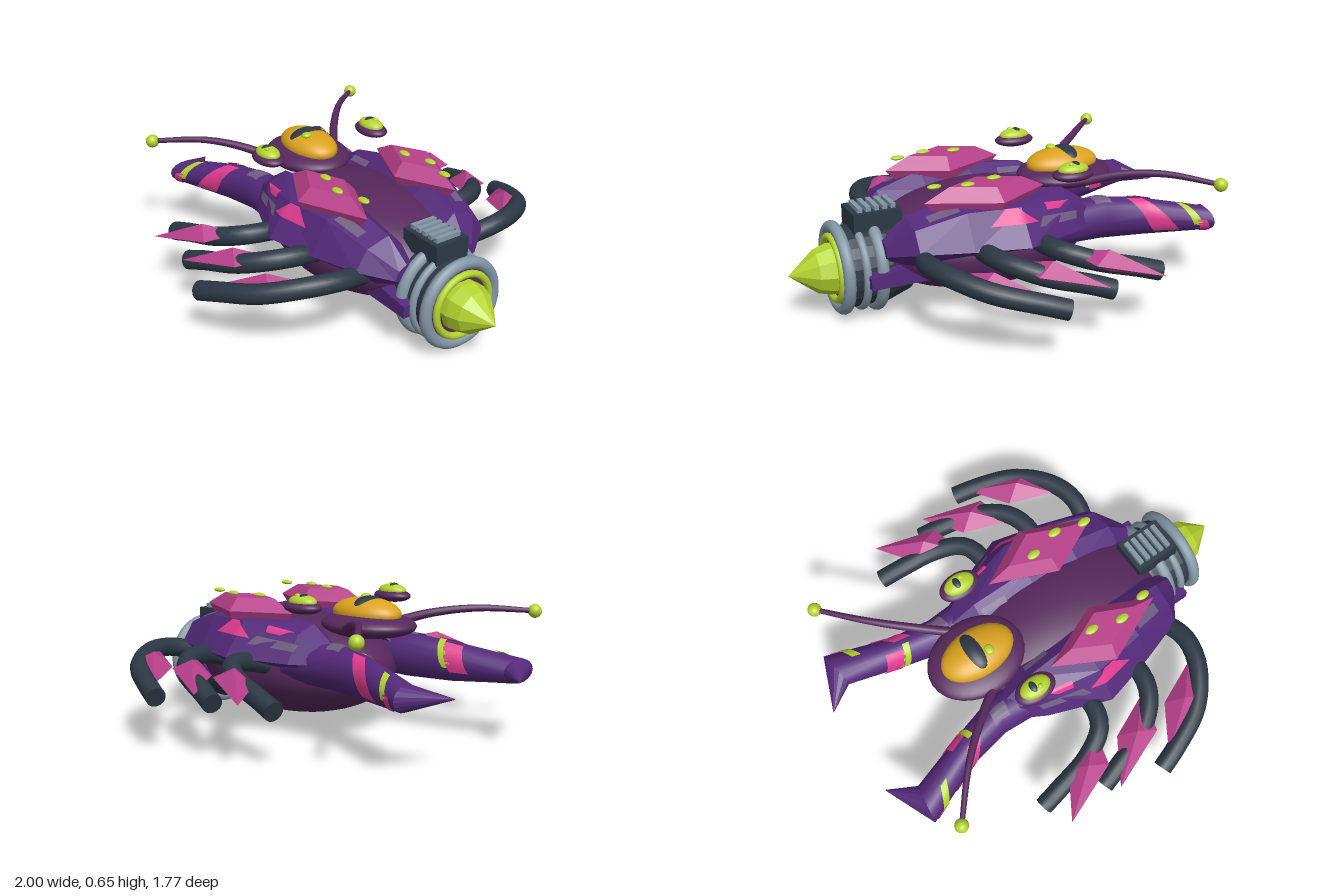
import * as THREE from 'three';

const mat = (name, color, side = THREE.FrontSide) => {
  const m = new THREE.MeshStandardMaterial({ color, side });
  m.name = name;
  return m;
};
const M = {
  hull: mat('plum hull', 0x56285c),
  shell: mat('violet shell', 0x54297a),
  plate: mat('rose plate', 0xb8408a),
  hot: mat('hot pink paint', 0xe03c90, THREE.DoubleSide),
  green: mat('acid green', 0xb4d42f, THREE.DoubleSide),
  amber: mat('amber eye', 0xdba31f),
  slate: mat('slate', 0x2c3845),
  steel: mat('steel', 0x8496a5),
  streak: mat('worn streak', 0x6f5c80, THREE.DoubleSide),
};

function add(parent, name, geometry, material, pos = [0, 0, 0]) {
  const m = new THREE.Mesh(geometry, material);
  m.name = name;
  m.position.set(...pos);
  parent.add(m);
  return m;
}

const blob = (parent, name, material, pos, radii) => {
  const m = add(parent, name, new THREE.SphereGeometry(1, 32, 20), material, pos);
  m.scale.set(...radii);
  return m;
};

// Closed skin over a row of rings, with capped ends and outward faces
function loft(rings, flat) {
  const n = rings[0].length, pos = rings.flat(2), idx = [];
  for (let i = 0; i < rings.length - 1; i++) for (let j = 0; j < n; j++) {
    const a = i * n + j, b = i * n + (j + 1) % n;
    idx.push(a, b, b + n, a, b + n, a + n);
  }
  [rings[0], rings.at(-1)].forEach((ring, end) => {
    const base = pos.length / 3;
    pos.push(...ring.flat(), ...centre(ring));
    for (let j = 0; j < n; j++) {
      const a = base + j, b = base + (j + 1) % n;
      idx.push(base + n, end ? a : b, end ? b : a);
    }
  });
  const p = (i) => new THREE.Vector3(pos[i * 3], pos[i * 3 + 1], pos[i * 3 + 2]);
  let volume = 0;
  for (let i = 0; i < idx.length; i += 3) volume += p(idx[i]).dot(p(idx[i + 1]).cross(p(idx[i + 2])));
  if (volume < 0) idx.reverse();
  let g = new THREE.BufferGeometry();
  g.setAttribute('position', new THREE.Float32BufferAttribute(pos, 3));
  g.setIndex(idx);
  if (flat) g = g.toNonIndexed();
  g.computeVertexNormals();
  return g;
}
const centre = (ring) => [0, 1, 2].map((k) => ring.reduce((s, p) => s + p[k], 0) / ring.length);

// Thin painted patch following a lofted skin; u runs along rings, v around them
function patch(rings, u0, u1, v0, v1, skew = 0, taper = 1) {
  const n = rings[0].length, g = new THREE.PlaneGeometry(1, 1, 10, 8), p = g.attributes.position;
  const mid = (u0 + u1) / 2;
  for (let i = 0; i < p.count; i++) {
    const s = p.getX(i) + 0.5, t = p.getY(i) + 0.5;
    const u = mid + (s - 0.5) * (u1 - u0) * (1 + (taper - 1) * t) + skew * t;
    const v = v0 + (v1 - v0) * t + n;
    const a = Math.min(Math.max(Math.floor(u), 0), rings.length - 2), b = Math.floor(v), fu = u - a, fv = v - b;
    const at = (r, k) => new THREE.Vector3(...rings[r][k % n]);
    const q = at(a, b).lerp(at(a, b + 1), fv).lerp(at(a + 1, b).lerp(at(a + 1, b + 1), fv), fu);
    const c = new THREE.Vector3(...centre(rings[a])).lerp(new THREE.Vector3(...centre(rings[a + 1])), fu);
    q.add(q.clone().sub(c).setLength(0.006));
    p.setXYZ(i, q.x, q.y, q.z);
  }
  g.computeVertexNormals();
  return g;
}

// Capped tube with a radius that may taper
function tube(points, r0, r1 = r0, steps = 20, sides = 14) {
  const curve = new THREE.CatmullRomCurve3(points.map((p) => new THREE.Vector3(...p)));
  const { normals, binormals } = curve.computeFrenetFrames(steps);
  return loft(normals.map((nv, i) => {
    const c = curve.getPointAt(i / steps), r = r0 + (r1 - r0) * i / steps;
    return Array.from({ length: sides }, (_, j) => {
      const a = j / sides * Math.PI * 2;
      return c.clone().addScaledVector(nv, r * Math.cos(a)).addScaledVector(binormals[i], r * Math.sin(a)).toArray();
    });
  }));
}

function buildSide() {
  const side = new THREE.Group();

  // Faceted shell: [y, z] of inner edge, ridge, shoulder, rim and underside
  const shell = [
    [-0.36, [0.40, 0.18], [0.43, 0.22], [0.41, 0.27], [0.36, 0.29], [0.32, 0.24]],
    [-0.22, [0.46, 0.13], [0.52, 0.21], [0.48, 0.31], [0.36, 0.37], [0.30, 0.25]],
    [0.06, [0.48, 0.11], [0.55, 0.20], [0.52, 0.37], [0.37, 0.48], [0.30, 0.30]],
    [0.30, [0.48, 0.11], [0.55, 0.20], [0.52, 0.34], [0.37, 0.42], [0.30, 0.30]],
    [0.52, [0.43, 0.11], [0.49, 0.18], [0.46, 0.29], [0.37, 0.35], [0.28, 0.24]],
    [0.62, [0.36, 0.12], [0.39, 0.16], [0.37, 0.20], [0.33, 0.22], [0.30, 0.17]],
  ].map(([x, ...pts]) => pts.map(([y, z]) => [x, y, z]));
  add(side, 'shell', loft(shell, true), M.shell);
  add(side, 'shellPinkMark', patch(shell, 1.75, 2.65, 2.4, 2.02, 0, 0.25), M.hot);
  add(side, 'shellFrontPinkMark', patch(shell, 1.05, 1.55, 1.9, 2.15, 0.1, 0.5), M.hot);
  add(side, 'shellSideStreak', patch(shell, 0.85, 1.65, 2.3, 2.55, 0.1), M.streak);
  add(side, 'shellInnerStreak', patch(shell, 1.05, 1.5, 0.35, 0.65), M.streak);
  add(side, 'shellRearStreak', patch(shell, 3.1, 3.7, 1.5, 1.85), M.streak);

  // Diamond back plate with a smaller flat top, and its spots
  const diamond = (y, k) => [[-0.28, 0], [-0.02, 0.14], [0.29, 0], [0.02, -0.13]]
    .map(([x, z]) => [0.165 + x * k, y, 0.24 + z * k]);
  add(side, 'backPlate', loft([diamond(0.51, 0.85), diamond(0.555, 1), diamond(0.612, 0.6)], true), M.plate);
  for (const [x, z] of [[0.12, 0.22], [0.26, 0.255], [0.4, 0.22]])
    blob(side, 'backSpot', M.green, [x, 0.617, z], [0.032, 0.01, 0.019]);

  // Front claw arm ending in an inward hook
  const claw = [
    [-0.12, 0.35, 0.24, 0.09, 0.10], [-0.4, 0.35, 0.235, 0.1, 0.085], [-0.6, 0.34, 0.28, 0.09, 0.075],
    [-0.885, 0.32, 0.38, 0.055, 0.09], [-1, 0.31, 0.22, 0.002, 0.002],
  ].map(([x, y, z, ry, rz]) => Array.from({ length: 16 }, (_, j) => {
    const a = j / 8 * Math.PI;
    return [x - 0.15 * rz * Math.cos(a), y + ry * Math.sin(a), z + rz * Math.cos(a)];
  }));
  add(side, 'clawArm', loft(claw.slice(0, 4)), M.shell);
  add(side, 'clawHook', loft(claw.slice(3), true), M.shell);
  add(side, 'clawPinkBand', patch(claw, 2.1, 2.5, -1.6, 3.4, -0.5), M.hot);
  add(side, 'clawPinkTip', patch(claw, 2.82, 2.97, -2, 0.5, -0.1), M.hot);
  add(side, 'clawInnerPink', patch(claw, 1.95, 2.25, 5, 9, 0.2), M.hot);
  add(side, 'clawOuterStripe', patch(claw, 2.68, 2.82, -0.5, 3.5, -0.15), M.green);
  add(side, 'clawInnerStripe', patch(claw, 1.75, 1.9, 4.2, 8.5, 0.3), M.green);
  add(side, 'clawStreak', patch(claw, 0.85, 1.2, 2.5, 4.5), M.streak);

  // Three curved legs, each with a long armour crystal
  for (const [dx, end, ez] of [[0, 0.08, 0.845], [-0.27, -0.18, 0.755], [-0.54, -0.46, 0.675]]) {
    const bend = ez - 0.845;
    add(side, 'leg', tube([
      [0.48 + dx, 0.32, 0.28], [0.515 + dx, 0.355, 0.43], [0.48 + dx, 0.355, 0.57 + bend * 0.15],
      [0.36 + dx, 0.32, 0.72 + bend * 0.6], [0.21 + dx - 0.03, 0.275, 0.81 + bend * 0.9], [end, 0.245, ez],
    ], 0.044), M.slate);
    const tip = [0.14, 0.285, 0.81], root = [0.45, 0.35, 0.54];
    const ring = (p, k) => [[0.085, 0.005, 0.04], [0, 0.05, 0], [-0.075, -0.015, -0.045], [0, -0.05, 0]]
      .map((o) => o.map((v, i) => p[i] + v * k + (i ? 0 : dx)));
    add(side, 'legArmour', loft([ring(tip, 0.02), ring([0.33, 0.335, 0.665], 1), ring(root, 0.05)], true), M.plate);
  }

  // Antenna
  add(side, 'antenna', tube([[-0.38, 0.51, 0.17], [-0.5, 0.55, 0.26], [-0.65, 0.572, 0.395], [-0.82, 0.557, 0.59]], 0.022, 0.011), M.hull);
  blob(side, 'antennaBulb', M.green, [-0.82, 0.556, 0.59], [0.031, 0.031, 0.031]);

  // Small side eye
  blob(side, 'sideEyeSocket', M.hull, [-0.235, 0.602, 0.293], [0.098, 0.03, 0.064]);
  blob(side, 'sideEye', M.green, [-0.235, 0.625, 0.293], [0.073, 0.031, 0.047]);
  blob(side, 'sideEyePupil', M.slate, [-0.245, 0.634, 0.293], [0.026, 0.026, 0.034]);
  blob(side, 'sideEyeGlint', M.green, [-0.218, 0.652, 0.308], [0.013, 0.009, 0.011]);

  // Wedge fin beside the engine
  const fin = new THREE.Shape([[0.44, 0.195], [0.55, 0.27], [0.7, 0.25], [0.7, 0.195]].map((p) => new THREE.Vector2(...p)));
  add(side, 'engineFin', new THREE.ExtrudeGeometry(fin, { depth: 0.1, bevelEnabled: false }), M.shell, [0, 0, 0.135]);
  return side;
}

export function createModel() {
  const root = new THREE.Group();
  root.name = 'alienCraft';

  // Hull, head and the large eye
  blob(root, 'hull', M.hull, [0.1, 0.295, 0], [0.53, 0.235, 0.37]);
  blob(root, 'head', M.hull, [-0.35, 0.51, 0], [0.23, 0.058, 0.185]);
  blob(root, 'mainEye', M.amber, [-0.34, 0.56, 0], [0.178, 0.07, 0.112]);
  blob(root, 'mainPupil', M.slate, [-0.355, 0.575, 0], [0.07, 0.062, 0.1]);
  blob(root, 'mainGlint', M.green, [-0.3, 0.627, 0.038], [0.022, 0.013, 0.024]);

  // Engine, turned about the x axis
  const axisY = 0.228;
  const turned = (name, profile, material, sides, flat) => {
    let g = new THREE.LatheGeometry(profile.map(([x, r]) => new THREE.Vector2(r, x)), sides);
    if (flat) {
      g = g.toNonIndexed();
      g.computeVertexNormals();
    }
    add(root, name, g, material, [0, axisY, 0]).rotation.z = -Math.PI / 2;
  };
  turned('engineCore', [[0.47, 0], [0.47, 0.15], [0.58, 0.185], [0.74, 0.185], [0.78, 0.17]], M.slate, 24, true);
  turned('engineBack', [[0.76, 0.18], [0.79, 0.165], [0.79, 0]], M.hull, 32, true);
  turned('exhaustCone', [[0.78, 0.115], [0.82, 0.115], [0.88, 0.097], [1, 0]], M.green, 10, true);
  for (const [name, x, r, t, m] of [
    ['engineRing', 0.63, 0.192, 0.027, M.steel], ['engineRing', 0.7, 0.187, 0.018, M.steel],
    ['engineRing', 0.78, 0.185, 0.027, M.steel], ['exhaustRing', 0.8, 0.143, 0.016, M.green],
  ]) add(root, name, new THREE.TorusGeometry(r, t, 12, 40), m, [x, axisY, 0]).rotation.y = Math.PI / 2;

  // Vent block with slats
  add(root, 'ventBlock', new THREE.BoxGeometry(0.22, 0.09, 0.17), M.slate, [0.61, 0.445, 0]);
  for (let i = 0; i < 5; i++)
    add(root, 'ventSlat', new THREE.BoxGeometry(0.022, 0.03, 0.125), M.steel, [0.53 + i * 0.038, 0.495, 0]);

  // Mirrored halves
  const left = buildSide(), right = buildSide();
  left.name = 'nearSide';
  right.name = 'farSide';
  right.scale.z = -1;
  root.add(left, right);
  return root;
}
